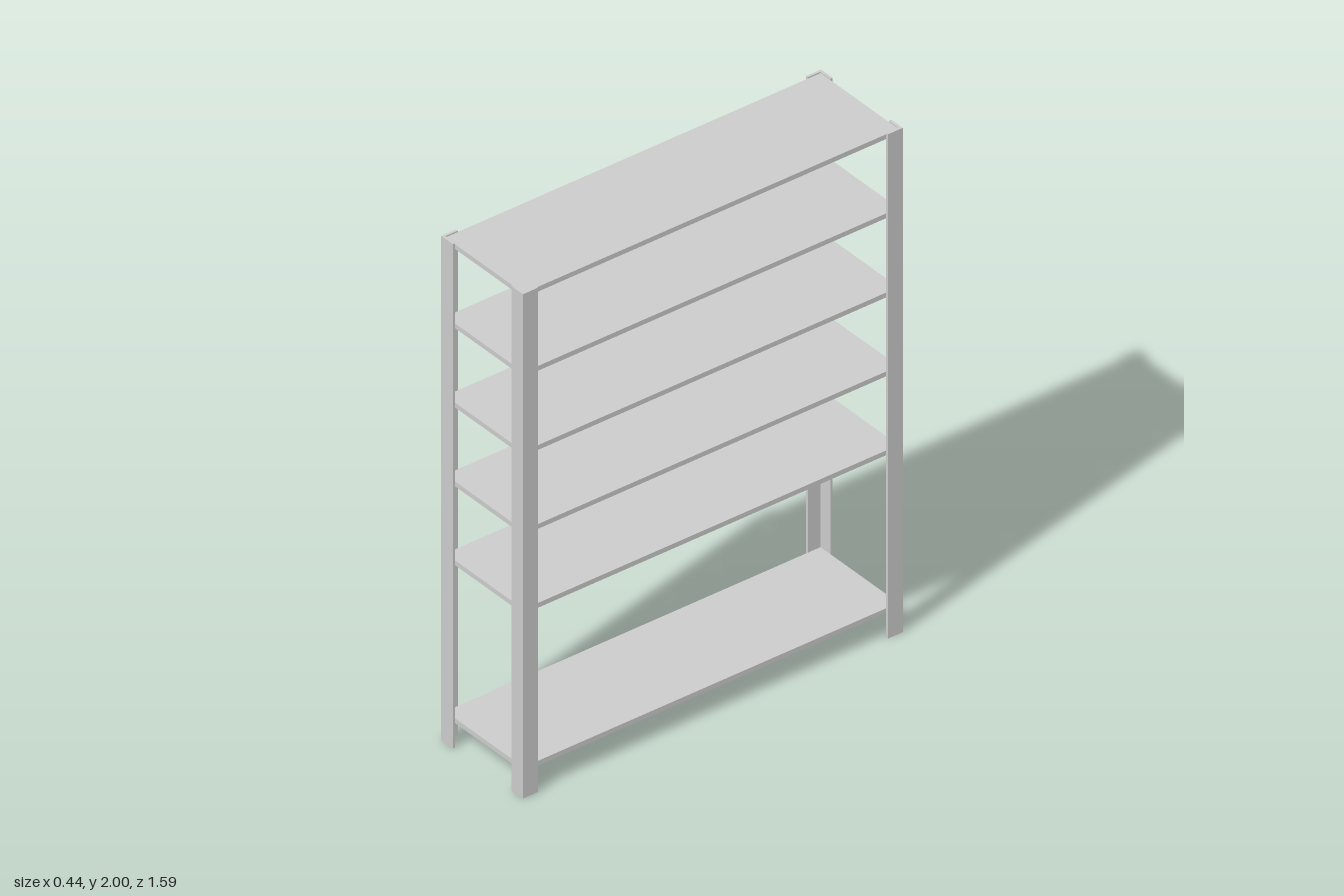
import * as THREE from 'three';

const X = 0.218, Z = 0.793, H = 2; // outer half width, half depth, height
const FLANGE = 0.062, T = 0.01;    // angle-iron leg width and thickness
const SHELF_T = 0.019;

export function createModel() {
  const group = new THREE.Group();
  group.name = 'shelvingUnit';
  const material = new THREE.MeshStandardMaterial({ color: 0xcccccc, flatShading: true });

  // Upright posts: L-section angle iron, open towards the inside
  for (const sx of [-1, 1]) for (const sz of [-1, 1]) {
    const corners = [[0, 0], [FLANGE, 0], [FLANGE, T], [T, T], [T, FLANGE], [0, FLANGE]];
    const section = new THREE.Shape(corners.map(([a, b]) =>
      new THREE.Vector2(sx * (X - a), -sz * (Z - b))));
    const geometry = new THREE.ExtrudeGeometry(section, { depth: H, bevelEnabled: false });
    geometry.rotateX(-Math.PI / 2);
    const post = new THREE.Mesh(geometry, material);
    post.name = `${sz > 0 ? 'front' : 'back'}${sx > 0 ? 'Left' : 'Right'}Post`;
    group.add(post);
  }

  // Shelves: flat boards fitted inside the posts, wider gap above the lowest
  const shelfGeometry = new THREE.BoxGeometry(2 * (X - T), SHELF_T, 2 * (Z - T));
  [0.115, 0.741, 1.054, 1.367, 1.681, 1.995].forEach((top, i) => {
    const shelf = new THREE.Mesh(shelfGeometry, material);
    shelf.name = `shelf${i + 1}`;
    shelf.position.y = top - SHELF_T / 2;
    group.add(shelf);
  });

  return group;
}
